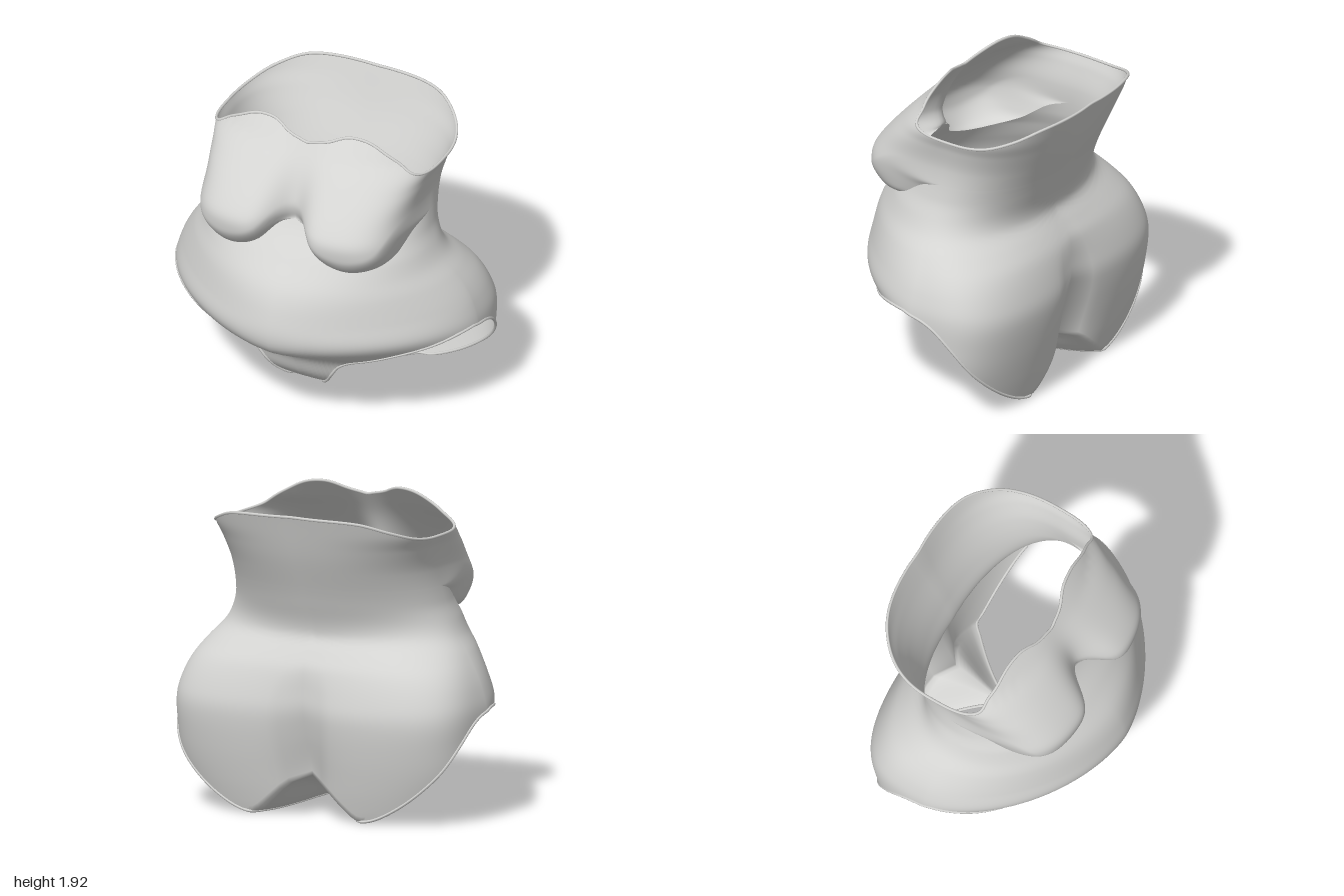
import * as THREE from 'three';
import { mergeGeometries, mergeVertices } from 'three/addons/utils/BufferGeometryUtils.js';

// Smooth interpolation through a few [input, value] pairs
function profile(pts) {
  const slope = (i) => {
    const a = pts[Math.max(i - 1, 0)], b = pts[Math.min(i + 1, pts.length - 1)];
    return (b[1] - a[1]) / (b[0] - a[0]);
  };
  return (x) => {
    const last = pts.length - 1;
    if (x <= pts[0][0]) return pts[0][1];
    if (x >= pts[last][0]) return pts[last][1];
    let i = 0;
    while (x > pts[i + 1][0]) i++;
    const h = pts[i + 1][0] - pts[i][0], t = (x - pts[i][0]) / h, t2 = t * t, t3 = t2 * t;
    return (2 * t3 - 3 * t2 + 1) * pts[i][1] + (t3 - 2 * t2 + t) * h * slope(i)
      + (3 * t2 - 2 * t3) * pts[i + 1][1] + (t3 - t2) * h * slope(i + 1);
  };
}

// Body cross-section values by height
const halfWidth = profile([[0, 0.88], [0.1, 0.92], [0.3, 0.98], [0.5, 0.99], [0.68, 0.99], [0.8, 0.96], [0.9, 0.915],
  [1.0, 0.85], [1.1, 0.77], [1.2, 0.72], [1.3, 0.685], [1.5, 0.665], [1.65, 0.69], [1.75, 0.72], [1.92, 0.7]]);
const centreZ = profile([[0, -0.1], [0.9, -0.1], [1.2, -0.05], [1.5, -0.12], [1.9, -0.25]]);
const frontZ = profile([[0, 0], [0.1, 0.08], [0.17, 0.2], [0.27, 0.31], [0.45, 0.41], [0.62, 0.67], [0.73, 0.725],
  [0.9, 0.7], [1.05, 0.64], [1.2, 0.52], [1.4, 0.36], [1.92, 0.15]]);
const backZ = profile([[0, -0.56], [0.05, -0.575], [0.2, -0.61], [0.4, -0.645], [0.6, -0.665], [0.7, -0.655], [0.9, -0.59],
  [1.0, -0.53], [1.1, -0.475], [1.3, -0.53], [1.6, -0.65], [1.85, -0.735]]);
const frontPower = profile([[0.2, 1.8], [0.45, 1.6], [0.6, 1.55], [0.72, 1.68], [0.85, 1.66], [1.0, 1.75], [1.2, 2]]);
const backPower = profile([[0, 3], [0.3, 3.2], [0.6, 3.5], [0.85, 3.2], [1.1, 2.2], [1.3, 2.2], [1.85, 2.7]]);
const cleft = profile([[0, 0.13], [0.27, 0.16], [0.5, 0.12], [0.75, 0.06], [0.95, 0.01], [1.9, 0.01]]);
const bustZ = profile([[1.15, 0.54], [1.25, 0.56], [1.38, 0.58], [1.45, 0.56], [1.6, 0.44], [1.92, 0.15]]);
const bustPower = profile([[1.4, 4], [1.6, 3.6], [1.8, 2.3]]);
const bustValley = profile([[1.4, 0.22], [1.5, 0.15], [1.7, 0.05], [1.9, 0]]);

// Edges and the crease under the bust, by angle from the front in degrees
const topEdge = profile([[0, 1.85], [10, 1.875], [20, 1.915], [32, 1.905], [46, 1.84], [65, 1.75], [90, 1.72],
  [110, 1.73], [130, 1.78], [150, 1.835], [180, 1.85]]);
const legEdge = profile([[0, 0.1], [8, 0.17], [13, 0.25], [20, 0.39], [33, 0.52], [45, 0.6], [59, 0.645], [76, 0.68],
  [90, 0.66], [107, 0.5], [127, 0.3], [148, 0.1], [164, 0.01], [172, 0.09], [180, 0.25]]);
const bustCrease = profile([[0, 1.4], [8, 1.36], [17, 1.25], [30, 1.19], [43, 1.19], [59, 1.24], [73, 1.35], [90, 1.4]]);

const COLS = 180, UPPER = 36, LOWER = 44, BOTTOM = UPPER + LOWER;

// Point on the body for an angle (degrees, 0..180) and height, on one side
function bodyPoint(deg, y, side) {
  const a = deg * Math.PI / 180, front = deg <= 90;
  const power = front ? frontPower(y) : backPower(y);
  const c = centreZ(y);
  const s = Math.pow(Math.abs(Math.sin(a)), 2 / power);
  const k = Math.pow(Math.abs(Math.cos(a)), 2 / power);
  const x = halfWidth(y) * s;
  let z = c + k * ((front ? frontZ(y) : backZ(y)) - c);
  if (front) {
    // Rounded bust over the chest, ending at the crease
    const t = THREE.MathUtils.clamp((y - bustCrease(deg)) / 0.13, 0, 1);
    const blend = Math.sqrt(1 - (1 - t) * (1 - t));
    const n = bustPower(y);
    const bust = c + (bustZ(y) - c) * Math.pow(Math.max(0, 1 - s ** n), 1 / n)
      - bustValley(y) * Math.exp(-((x / 0.13) ** 2));
    z += blend * Math.max(0, bust - z);
  } else {
    z += cleft(y) * Math.exp(-x / 0.13);
  }
  return new THREE.Vector3(side * x, y, z);
}

// Row 0 is the top edge, row UPPER the bust crease, row BOTTOM the leg edge
function shellPoint(row, col) {
  col = (col + COLS) % COLS;
  let deg = col * 360 / COLS;
  const side = deg > 180 ? -1 : 1;
  if (deg > 180) deg = 360 - deg;
  const crease = bustCrease(deg);
  const y = row <= UPPER
    ? THREE.MathUtils.lerp(topEdge(deg), crease, 1 - Math.pow(1 - row / UPPER, 1.7))
    : THREE.MathUtils.lerp(crease, legEdge(deg), (row - UPPER) / LOWER);
  return bodyPoint(deg, y, side);
}

// Strap between the legs: narrows from a part of the leg edge to the middle
const STRAP_ROWS = 14, STRAP_HALF = 0.018;
function strapPoint(row, col, edgeCol) {
  const t = row / STRAP_ROWS, p = shellPoint(BOTTOM, col);
  const edgeX = Math.abs(shellPoint(BOTTOM, edgeCol).x);
  const x = p.x * Math.pow(1 - t, 1.35) + STRAP_HALF * t * p.x / edgeX;
  const ease = t * t * (3 - 2 * t);
  return new THREE.Vector3(x, THREE.MathUtils.lerp(p.y, 0.1, ease), THREE.MathUtils.lerp(p.z, -0.1, t));
}

// Surface from a grid of points
function gridSurface(rowStart, rowEnd, colStart, colEnd, point) {
  const pos = [], index = [], n = colEnd - colStart + 1;
  for (let i = rowStart; i <= rowEnd; i++)
    for (let j = colStart; j <= colEnd; j++) pos.push(...point(i, j).toArray());
  for (let i = 0; i < rowEnd - rowStart; i++)
    for (let j = 0; j < n - 1; j++) {
      const a = i * n + j, b = a + 1, c = a + n, d = c + 1;
      index.push(a, c, b, b, c, d);
    }
  const g = new THREE.BufferGeometry();
  g.setAttribute('position', new THREE.Float32BufferAttribute(pos, 3));
  g.setIndex(index);
  return g;
}

// Join patches into one smooth skin
function smoothSkin(patches) {
  const g = mergeVertices(mergeGeometries(patches), 1e-4);
  g.computeVertexNormals();
  return g;
}

export function createModel() {
  const model = new THREE.Group();
  model.name = 'bodysuit';
  const fabric = new THREE.MeshStandardMaterial({ color: 0xd4d4d2, side: THREE.DoubleSide });
  fabric.name = 'light grey fabric';

  const add = (name, geometry) => {
    const mesh = new THREE.Mesh(geometry, fabric);
    mesh.name = name;
    model.add(mesh);
  };

  // Bust and upper back, then belly, seat and strap, meeting in a sharp crease
  const FRONT = 4, BACK = 82;
  add('upperShell', smoothSkin([gridSurface(0, UPPER, 0, COLS, shellPoint)]));
  add('lowerShell', smoothSkin([
    gridSurface(UPPER, BOTTOM, 0, COLS, shellPoint),
    gridSurface(0, STRAP_ROWS, -FRONT, FRONT, (i, j) => strapPoint(i, j, FRONT)),
    gridSurface(0, STRAP_ROWS, BACK, COLS - BACK, (i, j) => strapPoint(i, j, BACK)),
  ]));

  // Thin rolled hems
  const hem = (name, pts) => add(name, new THREE.TubeGeometry(
    new THREE.CatmullRomCurve3(pts, true), 200, 0.009, 6, true));
  const neck = [];
  for (let j = 0; j < COLS; j += 2) neck.push(shellPoint(0, j));
  hem('neckHem', neck);

  const leg = [];
  for (let j = FRONT; j < BACK; j += 2) leg.push(shellPoint(BOTTOM, j));
  for (let i = 0; i <= STRAP_ROWS; i += 2) leg.push(strapPoint(i, BACK, BACK));
  for (let i = STRAP_ROWS - 2; i > 0; i -= 2) leg.push(strapPoint(i, FRONT, FRONT));
  hem('leftLegHem', leg);
  hem('rightLegHem', leg.map((p) => new THREE.Vector3(-p.x, p.y, p.z)));

  return model;
}
